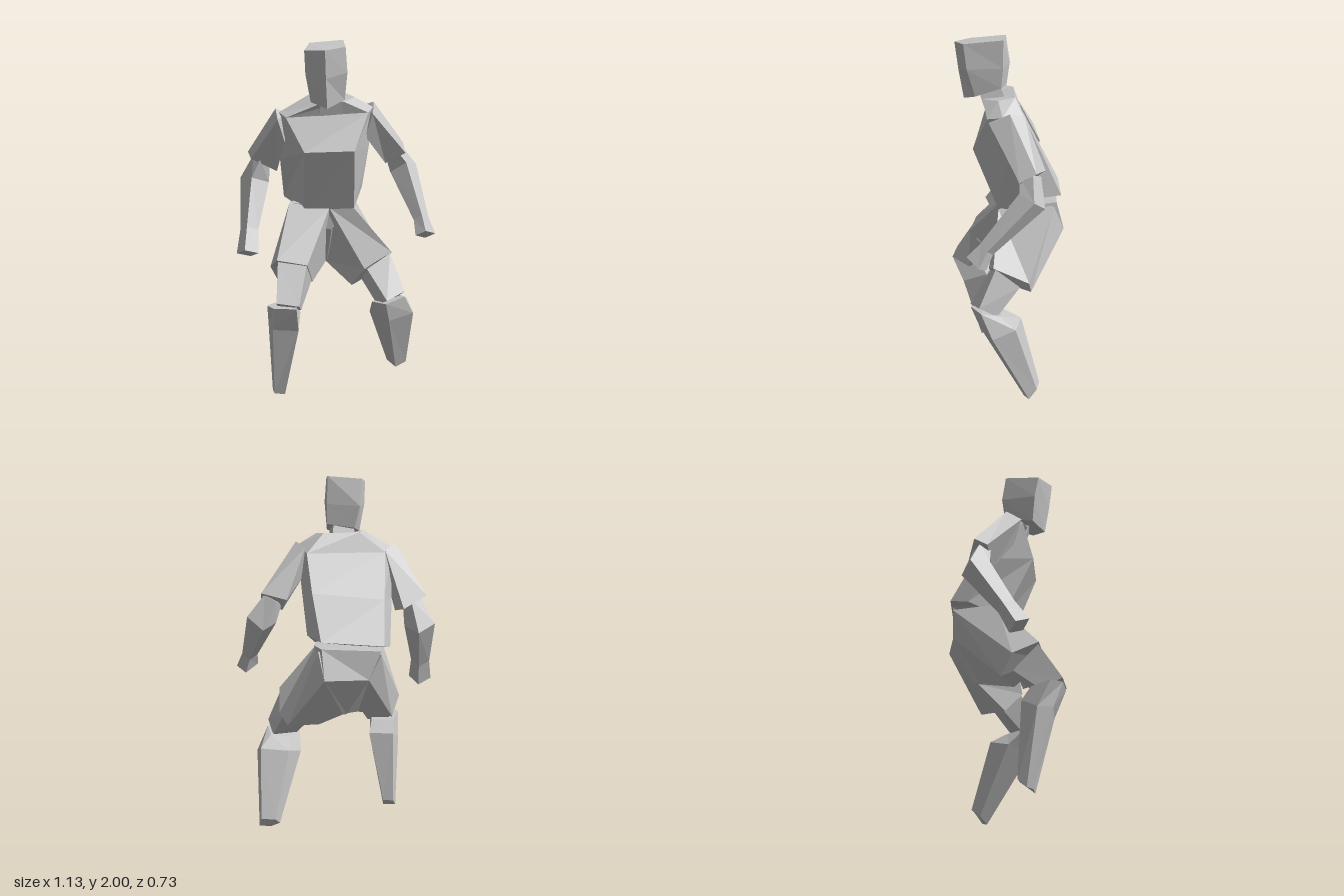
import * as THREE from 'three';

const grey = new THREE.MeshStandardMaterial({ color: 0xc8c8c8, flatShading: true });
grey.name = 'plain grey';

// Faceted solid skinned over cross-section loops with equal point counts, capped at both ends.
function loft(name, loops) {
  const rings = loops.map(l => l.map(p => (p.isVector3 ? p : new THREE.Vector3(...p))));
  const tris = [], n = rings[0].length;
  for (let i = 0; i < rings.length - 1; i++) {
    for (let j = 0; j < n; j++) {
      const k = (j + 1) % n, a = rings[i], b = rings[i + 1];
      tris.push([a[j], a[k], b[k]], [a[j], b[k], b[j]]);
    }
  }
  const first = rings[0], last = rings[rings.length - 1];
  for (let j = 1; j < n - 1; j++) {
    tris.push([first[0], first[j + 1], first[j]], [last[0], last[j], last[j + 1]]);
  }
  // turn every face outward whichever way the loops run
  const volume = tris.reduce((s, [a, b, c]) => s + a.dot(b.clone().cross(c)), 0);
  const points = tris.flatMap(([a, b, c]) => (volume < 0 ? [a, c, b] : [a, b, c]));
  const geometry = new THREE.BufferGeometry().setFromPoints(points);
  geometry.computeVertexNormals();
  const mesh = new THREE.Mesh(geometry, grey);
  mesh.name = name;
  return mesh;
}

// Four-sided limb along a path; stations are [x, y, z, half width, half depth].
function limb(name, stations, forward) {
  const centres = stations.map(s => new THREE.Vector3(s[0], s[1], s[2]));
  const f = new THREE.Vector3(...forward);
  return loft(name, stations.map(([, , , w, d], i) => {
    const dir = centres[Math.min(i + 1, centres.length - 1)].clone()
      .sub(centres[Math.max(i - 1, 0)]).normalize();
    const u = dir.clone().cross(f).normalize();
    const v = u.clone().cross(dir);
    return [[1, 1], [-1, 1], [-1, -1], [1, -1]].map(([p, q]) =>
      centres[i].clone().addScaledVector(u, p * w).addScaledVector(v, q * d));
  }));
}

export function createModel() {
  const figure = new THREE.Group();
  figure.name = 'crouchingFigure';

  // head: five-sided, with a ridge down the face
  figure.add(loft('head', [
    [[-0.11, 1.72, 0], [0.04, 1.74, -0.01], [0.06, 1.69, 0.13], [-0.025, 1.65, 0.22], [-0.12, 1.68, 0.17]],
    [[-0.14, 1.84, -0.01], [0.04, 1.85, -0.02], [0.078, 1.84, 0.17], [-0.028, 1.81, 0.25], [-0.145, 1.83, 0.19]],
    [[-0.147, 1.985, 0.015], [0.035, 2, -0.02], [0.07, 1.975, 0.19], [-0.03, 1.96, 0.27], [-0.147, 1.955, 0.215]],
  ]));
  figure.add(limb('neck', [[-0.035, 1.62, 0.04, 0.065, 0.06], [-0.03, 1.74, 0.08, 0.055, 0.06]], [0.3, 0, 1]));

  // torso: waist, chest, shoulders, neck base; leans forward and turns to its left
  figure.add(loft('torso', [
    [[-0.18, 1.045, 0.01], [0.1, 1.06, -0.01], [0.13, 1.15, -0.18], [0.03, 1.155, -0.35], [-0.3, 1.12, -0.26], [-0.325, 1.09, -0.15]],
    [[-0.155, 1.405, 0.18], [0.115, 1.41, 0.13], [0.175, 1.4, -0.08], [0.09, 1.4, -0.255], [-0.29, 1.35, -0.135], [-0.32, 1.34, 0]],
    [[-0.26, 1.59, 0.145], [0.18, 1.61, 0.03], [0.2, 1.63, -0.06], [0.13, 1.6, -0.17], [-0.28, 1.59, -0.01], [-0.31, 1.61, 0.07]],
    [[-0.09, 1.66, 0.13], [0.05, 1.675, 0.09], [0.1, 1.69, -0.01], [0.05, 1.7, -0.09], [-0.14, 1.7, -0.03], [-0.15, 1.705, 0.04]],
  ]));

  // pelvis: narrows from the waist to the crotch
  figure.add(loft('pelvis', [
    [[-0.25, 1.08, -0.01], [0.1, 1.08, -0.02], [0.09, 1.1, -0.2], [0.03, 1.11, -0.325], [-0.285, 1.09, -0.25]],
    [[-0.07, 0.93, -0.02], [-0.03, 0.93, -0.02], [0.02, 0.93, -0.2], [0.01, 0.945, -0.365], [-0.22, 0.93, -0.265]],
    [[-0.09, 0.72, -0.14], [-0.07, 0.72, -0.14], [-0.065, 0.7, -0.16], [-0.07, 0.7, -0.18], [-0.09, 0.7, -0.17]],
  ]));

  // arms: sleeve, then elbow to hand
  figure.add(loft('leftSleeve', [
    [[0.14, 1.63, -0.165], [0.2, 1.655, -0.1], [0.205, 1.6, 0.015], [0.16, 1.47, -0.02]],
    [[0.22, 1.37, -0.3], [0.36, 1.4, -0.285], [0.38, 1.35, -0.2], [0.265, 1.29, -0.19]],
  ]));
  figure.add(limb('leftForearm', [
    [0.305, 1.36, -0.24, 0.04, 0.04], [0.365, 1.25, -0.265, 0.06, 0.055],
    [0.48, 1.0, -0.05, 0.03, 0.033], [0.507, 0.92, 0, 0.035, 0.052],
  ], [-0.4, 0, 1]));
  figure.add(loft('rightSleeve', [
    [[-0.28, 1.6, -0.01], [-0.33, 1.63, 0.07], [-0.305, 1.58, 0.15], [-0.275, 1.45, 0.1]],
    [[-0.395, 1.3, -0.13], [-0.515, 1.365, -0.06], [-0.485, 1.335, 0.005], [-0.34, 1.265, -0.01]],
  ]));
  figure.add(limb('rightForearm', [
    [-0.43, 1.34, -0.04, 0.035, 0.035], [-0.48, 1.2, -0.06, 0.06, 0.06],
    [-0.482, 0.95, 0.11, 0.037, 0.037], [-0.48, 0.83, 0.18, 0.045, 0.045],
  ], [-1, 0, 1]));

  // short trouser legs, hip to hem
  figure.add(loft('leftShorts', [
    [[-0.04, 1.06, 0], [0.1, 1.06, -0.01], [0.05, 1.09, -0.315], [0.01, 0.945, -0.365], [-0.08, 0.7, -0.16]],
    [[0.165, 0.715, 0.03], [0.315, 0.8, -0.04], [0.28, 0.715, -0.235], [0.235, 0.64, -0.235], [0.085, 0.59, -0.05]],
  ]));
  figure.add(loft('rightShorts', [
    [[-0.04, 1.06, 0], [-0.27, 1.08, 0], [-0.285, 1.07, -0.25], [-0.22, 0.93, -0.265], [-0.08, 0.7, -0.16]],
    [[-0.135, 0.785, 0.235], [-0.305, 0.81, 0.24], [-0.365, 0.735, 0.11], [-0.33, 0.625, 0.04], [-0.13, 0.64, 0.06]],
  ]));

  // bare thighs, hem to knee
  figure.add(loft('leftThigh', [
    [[0.305, 0.79, -0.05], [0.18, 0.71, 0.02], [0.14, 0.62, -0.08], [0.27, 0.68, -0.18]],
    [[0.395, 0.585, 0.02], [0.3, 0.55, 0.1], [0.24, 0.5, 0.02], [0.35, 0.52, -0.07]],
  ]));
  figure.add(loft('rightThigh', [
    [[-0.3, 0.8, 0.235], [-0.14, 0.78, 0.23], [-0.13, 0.66, 0.1], [-0.31, 0.66, 0.1]],
    [[-0.29, 0.6, 0.36], [-0.165, 0.585, 0.355], [-0.17, 0.53, 0.25], [-0.3, 0.54, 0.25]],
  ]));

  // shins: knee, calf, ankle
  figure.add(loft('leftShin', [
    [[0.21, 0.52, 0.03], [0.295, 0.53, 0.1], [0.395, 0.55, 0.01], [0.36, 0.53, -0.09], [0.24, 0.51, -0.08]],
    [[0.19, 0.43, -0.06], [0.31, 0.41, 0.04], [0.445, 0.425, -0.07], [0.4, 0.48, -0.19], [0.24, 0.47, -0.18]],
    [[0.285, 0.055, -0.25], [0.34, 0.02, -0.225], [0.4, 0.04, -0.27], [0.38, 0.1, -0.31], [0.3, 0.1, -0.305]],
  ]));
  figure.add(loft('rightShin', [
    [[-0.18, 0.57, 0.355], [-0.3, 0.57, 0.365], [-0.35, 0.57, 0.31], [-0.33, 0.55, 0.2], [-0.2, 0.55, 0.19]],
    [[-0.18, 0.42, 0.29], [-0.32, 0.43, 0.315], [-0.357, 0.43, 0.24], [-0.33, 0.48, 0.15], [-0.19, 0.48, 0.145]],
    [[-0.275, 0, 0.205], [-0.335, 0.005, 0.21], [-0.35, 0.015, 0.18], [-0.34, 0.06, 0.13], [-0.28, 0.06, 0.13]],
  ]));
  return figure;
}
